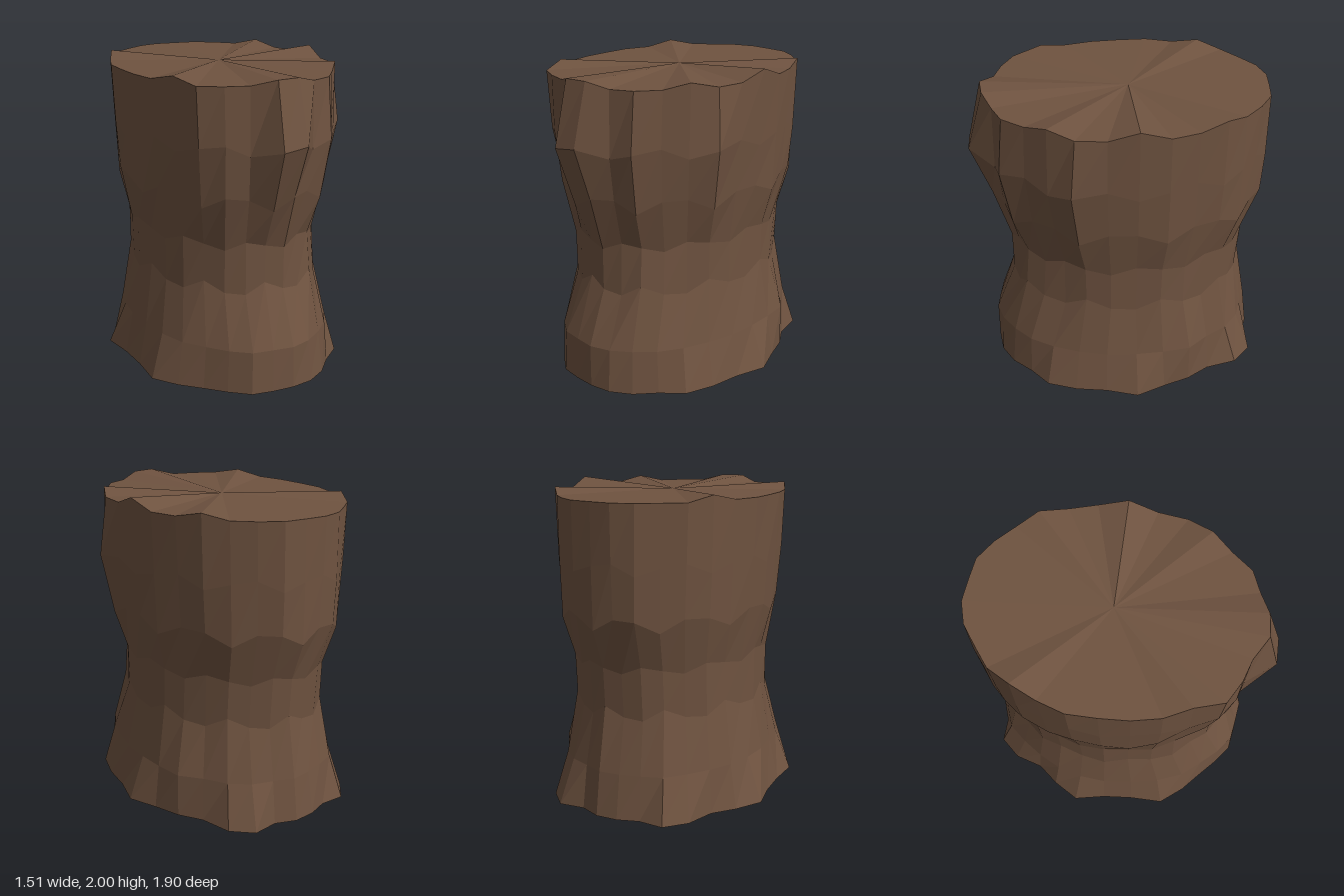
import * as THREE from 'three';

const SIDES = 30, CENTRE_Z = -0.06;

// Height, half width, front z, back z, and how far the ring zigzags up and down
const RINGS = [
  [0, 0.67, 0.87, -0.93, 0],
  [0.28, 0.64, 0.86, -0.89, 0],
  [0.64, 0.585, 0.72, -0.82, 0.045],
  [0.93, 0.585, 0.72, -0.84, 0.03],
  [1.23, 0.645, 0.8, -0.94, 0.05],
  [1.56, 0.665, 0.825, -0.95, 0.04],
  [1.94, 0.68, 0.825, -0.95, 0],
];
const TOP = RINGS.length - 1;

// Roots, knots and dents: angle from the front towards +x, ring, bulge
const RIDGES = [
  [258, 0, 0.155], [294, 0, 0.14], [90, 0, 0.135], [60, 0, 0.13],
  [30, 0, 0.04], [144, 0, 0.15], [216, 0, 0.13], [114, 1, 0.06],
  [30, 2, 0.04], [42, 3, -0.03], [306, 4, -0.03],
  [0, 5, 0.22], [66, 5, 0.1], [30, 5, 0.06], [318, 5, 0.05], [318, 6, 0.06],
];

// Raised corners of the cut edge, in degrees
const RAISED = [6, 54, 90, 126, 234, 306, 354];

// A ridge fades within one and a half sides and one ring
function bulge(degrees, ring) {
  return RIDGES.reduce((sum, [at, level, amount]) => {
    const turn = Math.abs(degrees - at);
    const away = Math.min(turn, 360 - turn) * SIDES / 360;
    const along = [1, 0.2][Math.abs(ring - level)] ?? 0;
    return sum + amount * Math.max(0, 1 - away / 1.5) * along;
  }, 0);
}

// One corner of the trunk surface
function corner(i, ring) {
  const side = i % SIDES;
  const degrees = (side + 0.5) * 360 / SIDES;
  const angle = THREE.MathUtils.degToRad(degrees);
  const [height, halfWidth, front, back, zigzag] = RINGS[ring];
  const depth = Math.cos(angle) > 0 ? front - CENTRE_Z : CENTRE_Z - back;
  const scale = 1 + 0.012 * Math.sin(side * 2.3 + ring * 0.6) + bulge(degrees, ring);
  let y = height + zigzag * Math.sin(side * 2.1 + ring * 1.7);
  if (ring === TOP && RAISED.some((d) => Math.abs(d - degrees) < 1)) y = side === 7 ? 2 : 1.977;
  return [
    scale * halfWidth * Math.sin(angle),
    y,
    CENTRE_Z + scale * depth * Math.cos(angle),
  ];
}

function facetedMesh(name, corners, material) {
  const geometry = new THREE.BufferGeometry();
  geometry.setAttribute('position', new THREE.Float32BufferAttribute(corners.flat(), 3));
  geometry.computeVertexNormals(); // separate triangles give flat facets
  const mesh = new THREE.Mesh(geometry, material);
  mesh.name = name;
  return mesh;
}

export function createModel() {
  const wood = new THREE.MeshStandardMaterial({ color: 0x6f5340 });
  wood.name = 'brown wood';
  const bark = [], cutTop = [], underside = [];

  for (let i = 0; i < SIDES; i++) {
    // Bark facets between neighbouring rings
    for (let ring = 0; ring < TOP; ring++) {
      const a = corner(i, ring), b = corner(i + 1, ring);
      const c = corner(i + 1, ring + 1), d = corner(i, ring + 1);
      bark.push(a, b, c, a, c, d);
    }
    // Fans closing the cut top and the underside
    cutTop.push([0, 1.95, CENTRE_Z], corner(i, TOP), corner(i + 1, TOP));
    underside.push([0, 0, CENTRE_Z], corner(i + 1, 0), corner(i, 0));
  }

  const stump = new THREE.Group();
  stump.name = 'treeStump';
  stump.add(
    facetedMesh('bark', bark, wood),
    facetedMesh('cutTop', cutTop, wood),
    facetedMesh('underside', underside, wood),
  );
  return stump;
}
